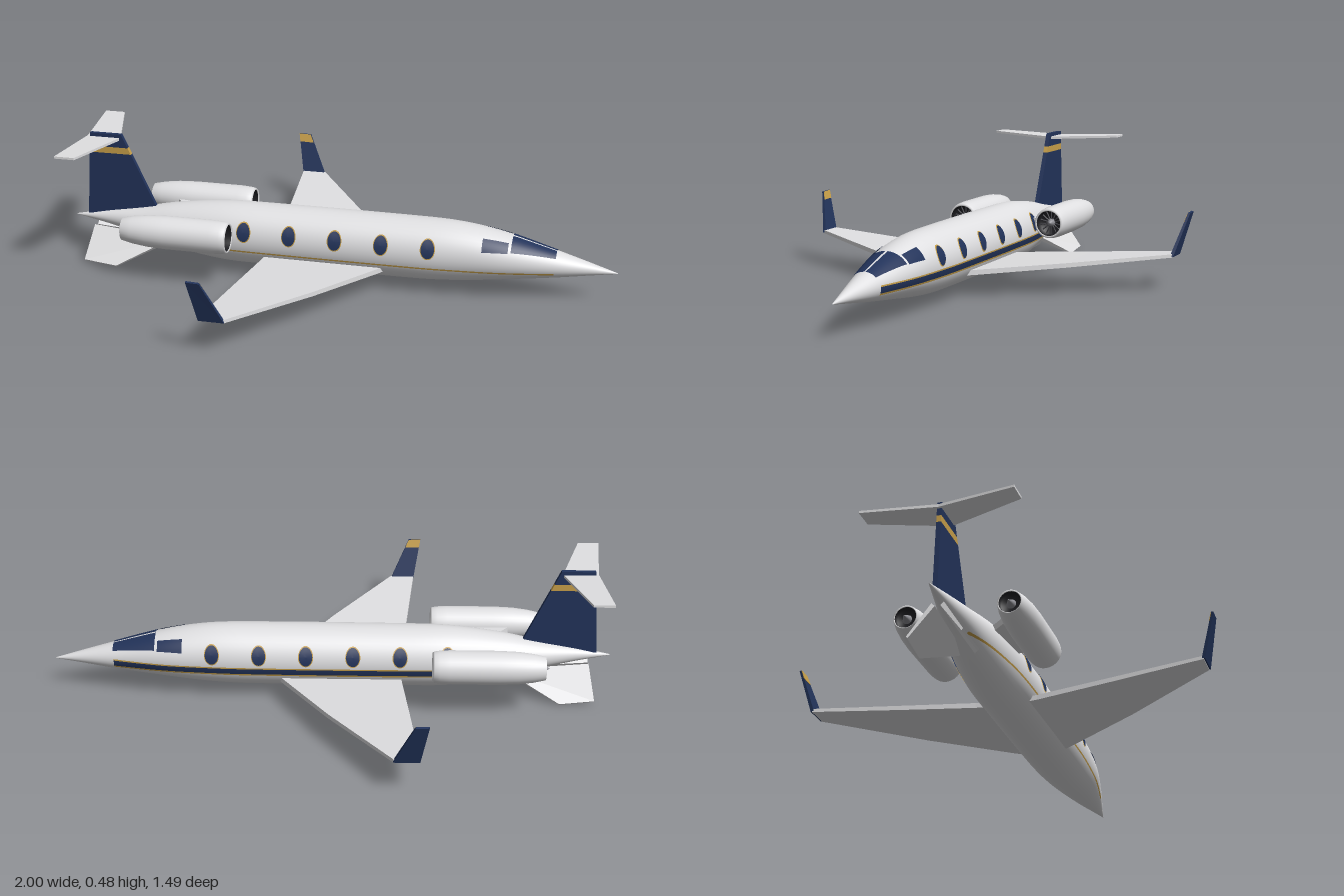
import * as THREE from 'three';

const mat = (name, color, side = THREE.FrontSide) => {
  const m = new THREE.MeshStandardMaterial({ color, side });
  m.name = name;
  return m;
};

// Fuselage stations: x, top y, bottom y, half width
const STATIONS = [
  [-1, 0.16, 0.157, 0.002], [-0.87, 0.187, 0.133, 0.028], [-0.74, 0.21, 0.104, 0.056], [-0.6, 0.238, 0.066, 0.082],
  [-0.42, 0.259, 0.039, 0.102], [-0.25, 0.262, 0.037, 0.108], [0.3, 0.262, 0.037, 0.108], [0.45, 0.256, 0.045, 0.102],
  [0.6, 0.231, 0.063, 0.089], [0.78, 0.182, 0.085, 0.054], [0.9, 0.148, 0.102, 0.025], [1, 0.118, 0.116, 0.001],
];

// Smooth interpolation between stations
function station(x) {
  const S = STATIONS, n = S.length;
  let i = 0;
  while (i < n - 2 && x > S[i + 1][0]) i++;
  const d = S[i + 1][0] - S[i][0], t = (x - S[i][0]) / d;
  const slope = (j, k) => {
    const a = S[Math.max(j - 1, 0)], b = S[Math.min(j + 1, n - 1)];
    return (b[k] - a[k]) / (b[0] - a[0]);
  };
  const at = (k) => (2 * t ** 3 - 3 * t * t + 1) * S[i][k] + (t ** 3 - 2 * t * t + t) * d * slope(i, k)
    + (3 * t * t - 2 * t ** 3) * S[i + 1][k] + (t ** 3 - t * t) * d * slope(i + 1, k);
  const top = at(1), bottom = at(2);
  return { c: (top + bottom) / 2, h: (top - bottom) / 2, w: at(3) };
}

// Point on the skin at x and elevation angle a, lifted by off
function skin(x, a, off = 0, side = 1) {
  const { c, h, w } = station(x);
  return [x, c + (h + off) * Math.sin(a), side * (w + off) * Math.cos(a)];
}

// Elevation angle at which the skin reaches height y
function elevation(x, y) {
  const { c, h } = station(x);
  return Math.asin(Math.max(-1, Math.min(1, (y - c) / h)));
}

// Smooth grid surface from fn(u, v)
function grid(fn, nu, nv, flip = false, wrap = false) {
  const pos = [], idx = [], row = wrap ? nv : nv + 1;
  for (let i = 0; i <= nu; i++) for (let j = 0; j < row; j++) pos.push(...fn(i / nu, j / nv));
  for (let i = 0; i < nu; i++) for (let j = 0; j < nv; j++) {
    const k = (j + 1) % row;
    const a = i * row + j, b = (i + 1) * row + j, c = (i + 1) * row + k, d = i * row + k;
    if (flip) idx.push(a, c, b, a, d, c);
    else idx.push(a, b, c, a, c, d);
  }
  const g = new THREE.BufferGeometry();
  g.setAttribute('position', new THREE.Float32BufferAttribute(pos, 3));
  g.setIndex(idx);
  g.computeVertexNormals();
  return g;
}

// Flat-faced solid through four-cornered sections, turned outward by its volume
function loft(sections) {
  const tris = [];
  const quad = (a, b, c, d) => tris.push([a, b, c], [a, c, d]);
  for (let s = 0; s < sections.length - 1; s++) {
    const p = sections[s], q = sections[s + 1];
    for (let i = 0; i < 4; i++) quad(p[i], p[(i + 1) % 4], q[(i + 1) % 4], q[i]);
  }
  quad(...[...sections[0]].reverse());
  quad(...sections[sections.length - 1]);
  const o = sections[0][0];
  let vol = 0;
  for (const [a, b, c] of tris) {
    vol += a.clone().sub(o).dot(b.clone().sub(o).cross(c.clone().sub(o)));
  }
  const pos = tris.flatMap(([a, b, c]) => (vol < 0 ? [a, c, b] : [a, b, c]).flatMap((v) => v.toArray()));
  const g = new THREE.BufferGeometry();
  g.setAttribute('position', new THREE.Float32BufferAttribute(pos, 3));
  g.computeVertexNormals();
  return g;
}

// Section from leading to trailing edge, half thickness t along n
function section(le, te, t, n) {
  const L = new THREE.Vector3(...le), T = new THREE.Vector3(...te);
  const N = new THREE.Vector3(...n).normalize().multiplyScalar(t);
  return [L.clone().add(N), T.clone().add(N), T.clone().sub(N), L.clone().sub(N)];
}

export function createModel() {
  const white = mat('white paint', 0xe0e0e2);
  const navy = mat('navy paint', 0x22335a, THREE.DoubleSide);
  const gold = mat('gold trim', 0xc8a04a, THREE.DoubleSide);
  const dark = mat('dark engine interior', 0x1c1c20);
  const steel = mat('steel', 0x8c8c92);
  const blade = mat('fan blade grey', 0x44444a, THREE.DoubleSide);

  const jet = new THREE.Group();
  jet.name = 'businessJet';
  const add = (name, geo, material, parent = jet) => {
    const m = new THREE.Mesh(geo, material);
    m.name = name;
    parent.add(m);
    return m;
  };

  add('fuselage', grid((u, v) => skin(-1 + 2 * u, v * Math.PI * 2), 80, 40, false, true), white);

  // Painted patches that follow the skin
  const patch = (name, material, side, x0, x1, lo, hi, off, n = 10) => add(name, grid((u, v) => {
    const x = x0 + (x1 - x0) * u;
    return skin(x, lo(x, u) + (hi(x, u) - lo(x, u)) * v, off, side);
  }, n, 6, side < 0), material);
  const oval = (name, material, side, x, rx, ry, off) => add(name, grid((u, v) => {
    const t = v * Math.PI * 2, px = x + rx * u * Math.cos(t);
    return skin(px, elevation(px, 0.185 + ry * u * Math.sin(t)), off, side);
  }, 3, 24, side < 0), material);
  const stripe = (name, material, side, y0, y1, off) => patch(name, material, side, -0.74, 0.78,
    (x) => elevation(x, y0), (x) => elevation(x, y1), off, 60);

  const deg = Math.PI / 180;
  for (const side of [1, -1]) {
    // Cabin windows, staggered between the two sides
    const first = side > 0 ? -0.328 : -0.415;
    for (let i = 0; i < (side > 0 ? 5 : 6); i++) {
      const x = first + i * 0.1675;
      oval('windowRim', gold, side, x, 0.027, 0.036, 0.0015);
      oval('cabinWindow', navy, side, x, 0.024, 0.032, 0.003);
    }
    // Cockpit glazing
    patch('windscreen', navy, side, 0.63, 0.785, (x, u) => (32 + 12 * u) * deg, () => 87 * deg, 0.0025);
    patch('cockpitSideWindow', navy, side, 0.53, 0.62, (x, u) => (23 + 6 * u) * deg, (x, u) => (54 + 3 * u) * deg, 0.0025);
    stripe('goldStripe', gold, side, 0.11, 0.116, 0.002);
  }
  // Wider band on one side only
  stripe('navyStripe', navy, -1, 0.116, 0.137, 0.002);
  stripe('upperGoldStripe', gold, -1, 0.137, 0.142, 0.002);

  // Vertical fin with gold band
  const finAt = (y) => section([-0.805 - (y - 0.475) * 0.46, y, 0], [-0.93 + (y - 0.475) * 0.07, y, 0], 0.008, [0, 0, 1]);
  const finPart = (name, y0, y1, m) => add(name, loft([finAt(y0), finAt(y1)]), m);
  finPart('tailFin', 0.17, 0.412, navy);
  finPart('tailFinBand', 0.412, 0.436, gold);
  finPart('tailFinTop', 0.436, 0.486, navy);

  for (const s of [1, -1]) {
    const up = [0, 1, 0];
    add('wing', loft([
      section([0.23, 0.083, 0], [-0.25, 0.083, 0], 0.009, up),
      section([0.165, 0.088, s * 0.11], [-0.255, 0.088, s * 0.11], 0.009, up),
      section([0, 0.105, s * 0.38], [-0.28, 0.105, s * 0.38], 0.008, up),
      section([-0.22, 0.127, s * 0.7], [-0.308, 0.127, s * 0.7], 0.006, up),
    ]), white);

    // Winglet leaning outward, gold only on the inner face of the tip
    const out = [0, -0.04, s * 0.15];
    const wingletAt = (t, half, shift = 0) => section(
      [-0.22 - 0.068 * t, 0.124 + 0.15 * t, s * (0.699 + 0.042 * t - shift)],
      [-0.308 - 0.026 * t, 0.124 + 0.152 * t, s * (0.699 + 0.042 * t - shift)], half, out);
    add('winglet', loft([wingletAt(0, 0.006), wingletAt(1, 0.004)]), navy);
    add('wingletTip', loft([wingletAt(0.8, 0.001, 0.005), wingletAt(1, 0.001, 0.0045)]), gold);

    add('tailplane', loft([
      section([-0.815, 0.468, 0], [-0.94, 0.468, 0], 0.005, up),
      section([-0.893, 0.476, s * 0.26], [-0.967, 0.476, s * 0.26], 0.004, up),
    ]), white);

    add('ventralFin', loft([
      section([-0.62, 0.1, s * 0.02], [-0.925, 0.125, s * 0.015], 0.008, [0, 1, s]),
      section([-0.82, 0.004, s * 0.097], [-0.945, 0.014, s * 0.09], 0.004, [0, 1, s]),
    ]), white);

    add('enginePylon', loft([
      section([-0.42, 0.19, s * 0.05], [-0.58, 0.19, s * 0.05], 0.012, up),
      section([-0.42, 0.19, s * 0.14], [-0.66, 0.19, s * 0.14], 0.012, up),
    ]), white);

    // Engine, its axis along x
    const engine = new THREE.Group();
    engine.name = 'engine';
    engine.position.set(0, 0.192, s * 0.176);
    jet.add(engine);
    const turned = (name, pts, m) => add(name,
      new THREE.LatheGeometry(pts.map(([r, x]) => new THREE.Vector2(r, x)), 32).rotateZ(-Math.PI / 2), m, engine);
    turned('nacelle', [[0.037, -0.752], [0.041, -0.755], [0.05, -0.715], [0.057, -0.66], [0.06, -0.59],
      [0.06, -0.42], [0.058, -0.385], [0.055, -0.366], [0.051, -0.36], [0.047, -0.364]], white);
    turned('inletDuct', [[0.047, -0.364], [0.045, -0.4], [0, -0.4]], dark);
    turned('exhaustDuct', [[0, -0.735], [0.034, -0.735], [0.037, -0.752]], dark);
    turned('exhaustCone', [[0, -0.77], [0.016, -0.735]], steel);
    turned('fanHub', [[0.015, -0.4], [0.012, -0.385], [0.006, -0.376], [0, -0.373]], steel);
    for (let i = 0; i < 14; i++) {
      const g = new THREE.BoxGeometry(0.003, 0.03, 0.004).rotateY(0.5).translate(-0.396, 0.029, 0);
      add('fanBlade', g.rotateX(i * Math.PI / 7), blade, engine);
    }
  }
  return jet;
}
